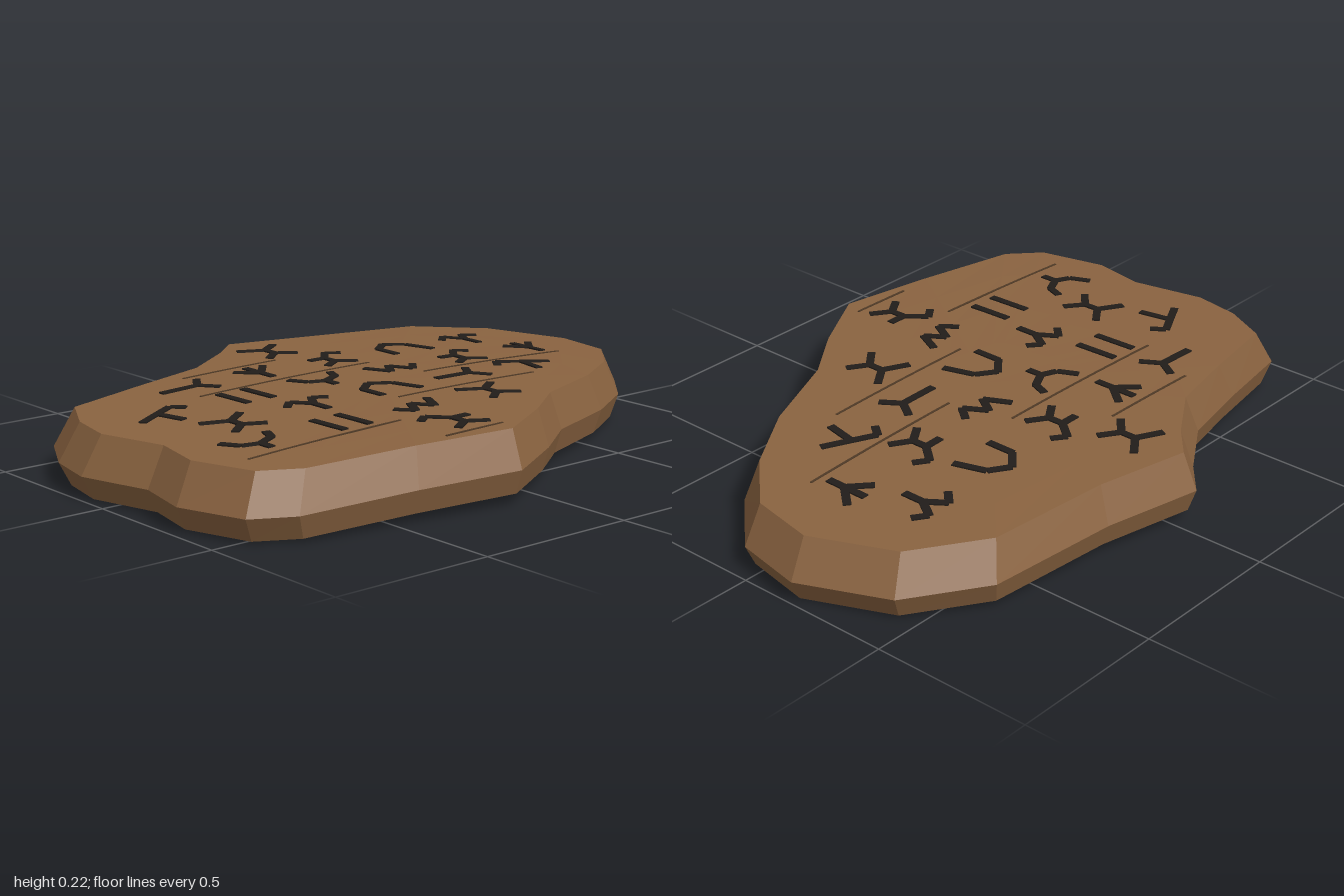
import * as THREE from 'three';
import { mergeGeometries } from 'three/addons/utils/BufferGeometryUtils.js';

const wood = new THREE.MeshStandardMaterial({ color: 0x8a6340, flatShading: true });
wood.name = 'brown wood';
const ink = new THREE.MeshStandardMaterial({ color: 0x211d1a, flatShading: true });
ink.name = 'charred black';
const groove = new THREE.MeshStandardMaterial({ color: 0x4f3a26, flatShading: true });
groove.name = 'dark groove';

// Widest outline of the slab as [x, z], starting at the back and running clockwise from above
const OUTLINE = [
  [-0.05, -0.74], [0.26, -0.67], [0.67, -0.62], [0.89, -0.455], [1, -0.18], [0.96, 0.04],
  [0.8, 0.21], [0.58, 0.35], [0.29, 0.47], [0.11, 0.6], [-0.12, 0.73], [-0.45, 0.68],
  [-0.81, 0.625], [-0.92, 0.54], [-0.98, 0.32], [-0.945, 0.14], [-1, -0.1], [-0.97, -0.26],
  [-0.89, -0.41], [-0.6, -0.47], [-0.34, -0.53], [-0.155, -0.65],
];

// The whole slab is gently arched along x
const arch = (x) => 0.035 * (1 - x * x);
const topY = (x) => 0.18 + arch(x);

// Rings from the middle of the underside, round the rim, to the middle of the top: [scale, y]
function slabGeometry() {
  const rings = [
    [0, 0], [0.25, 0], [0.5, 0], [0.75, 0], [0.965, 0], [1, 0.072],
    [0.935, 0.18], [0.75, 0.18], [0.5, 0.18], [0.25, 0.18], [0, 0.18],
  ];
  const pos = [], idx = [], n = OUTLINE.length;
  for (const [s, y] of rings)
    for (const [x, z] of OUTLINE) pos.push(x * s, y + arch(x * s), z * s);
  for (let r = 0; r < rings.length - 1; r++)
    for (let i = 0; i < n; i++) {
      const j = (i + 1) % n;
      const a = r * n + i, b = r * n + j, c = a + n, d = b + n;
      if (r > 0) idx.push(a, c, b);
      if (r < rings.length - 2) idx.push(b, c, d);
    }
  const g = new THREE.BufferGeometry();
  g.setAttribute('position', new THREE.Float32BufferAttribute(pos, 3));
  g.setIndex(idx);
  g.computeVertexNormals();
  return g;
}

// A thin bar between two points, draped over the arched top
function stroke(x1, z1, x2, z2, width, height) {
  const len = Math.hypot(x2 - x1, z2 - z1);
  const g = new THREE.BoxGeometry(len, 0.008, width, Math.ceil(len / 0.08), 1, 1);
  g.rotateY(-Math.atan2(z2 - z1, x2 - x1));
  g.translate((x1 + x2) / 2, height - 0.004, (z1 + z2) / 2);
  const p = g.attributes.position;
  for (let i = 0; i < p.count; i++) p.setY(i, p.getY(i) + topY(p.getX(i)));
  return g;
}

// Carved signs: each is a list of polylines [x, z, x, z, ...] in hundredths about its centre
const SIGNS = {
  figure: [[-8, -6, 0, -2, 7, -7], [0, -2, 0, 3], [-6, 8, 0, 3, 6, 7]],
  fork: [[-9, 0, 4, 0], [8, -6, 4, 0, 8, 6]],
  arrow: [[0, -7, 0, 7], [-6, -5, 0, 1, 6, -6]],
  hook: [[8, -5, 4, -8, -1, -2, -1, 3], [-7, -2, -1, -2], [-7, 7, -1, 3, 5, 7]],
  arc: [[-7, 7, -7, -2, -1, -7, 5, -3, 8, 7]],
  branch: [[-8, -2, -4, -6, 0, 0, 4, -6, 8, -3], [0, 0, 0, 7]],
  bent: [[-9, 1, 6, -7, 9, -3], [-1, -3, 1, 7]],
  bars: [[-5, -7, -4.5, 7], [4, -7, 4.5, 7]],
  cup: [[-8, -6, -5, 0, 0, 2, 6, -1, 8, -6], [0, 2, 0, 7]],
  zigzag: [[-8, -4, -4, 4, 0, -2, 4, 5, 8, 0]],
};

// [sign, x, z, mirror]
const LAYOUT = [
  ['figure', -0.02, -0.52, 1],
  ['fork', -0.49, -0.31, 1], ['arrow', -0.22, -0.31, 1], ['hook', 0.06, -0.31, 1],
  ['arc', 0.34, -0.31, 1], ['branch', 0.62, -0.31, 1],
  ['bent', -0.71, -0.1, 1], ['bars', -0.42, -0.11, 1], ['cup', -0.14, -0.11, 1],
  ['zigzag', 0.13, -0.1, 1], ['hook', 0.41, -0.1, 1], ['arrow', 0.7, -0.1, 1],
  ['figure', -0.62, 0.1, 1], ['branch', -0.34, 0.1, 1], ['arc', -0.06, 0.09, 1],
  ['fork', 0.22, 0.1, 1], ['bent', 0.5, 0.1, -1],
  ['cup', -0.7, 0.3, 1], ['bars', -0.41, 0.31, 1], ['zigzag', -0.14, 0.31, -1],
  ['figure', 0.15, 0.31, 1],
  ['hook', -0.17, 0.51, -1],
];

// Ruled guide lines under each row: [x start, x end, z]
const RULES = [
  [-0.43, -0.08, -0.41], [-0.52, 0.12, -0.2], [0.17, 0.74, 0],
  [-0.11, 0.43, 0.205], [-0.81, -0.28, 0.41], [-0.3, -0.09, 0.62],
];

export function createModel() {
  const model = new THREE.Group();
  model.name = 'carvedTablet';
  const add = (name, geometry, material) => {
    const mesh = new THREE.Mesh(geometry, material);
    mesh.name = name;
    model.add(mesh);
  };

  add('slab', slabGeometry(), wood);

  const signs = new THREE.Group();
  signs.name = 'carvedSigns';
  model.add(signs);
  for (const [kind, cx, cz, mirror] of LAYOUT) {
    const bars = [];
    for (const line of SIGNS[kind])
      for (let i = 0; i + 3 < line.length; i += 2) {
        const [x1, z1, x2, z2] = line.slice(i, i + 4).map((v) => v / 100);
        bars.push(stroke(cx + mirror * x1, cz + z1, cx + mirror * x2, cz + z2, 0.024, 0.004));
      }
    const mesh = new THREE.Mesh(mergeGeometries(bars), ink);
    mesh.name = kind + 'Sign';
    signs.add(mesh);
  }

  add('guideLines', mergeGeometries(RULES.map(([a, b, z]) => stroke(a, z, b, z, 0.007, 0.002))), groove);
  return model;
}
